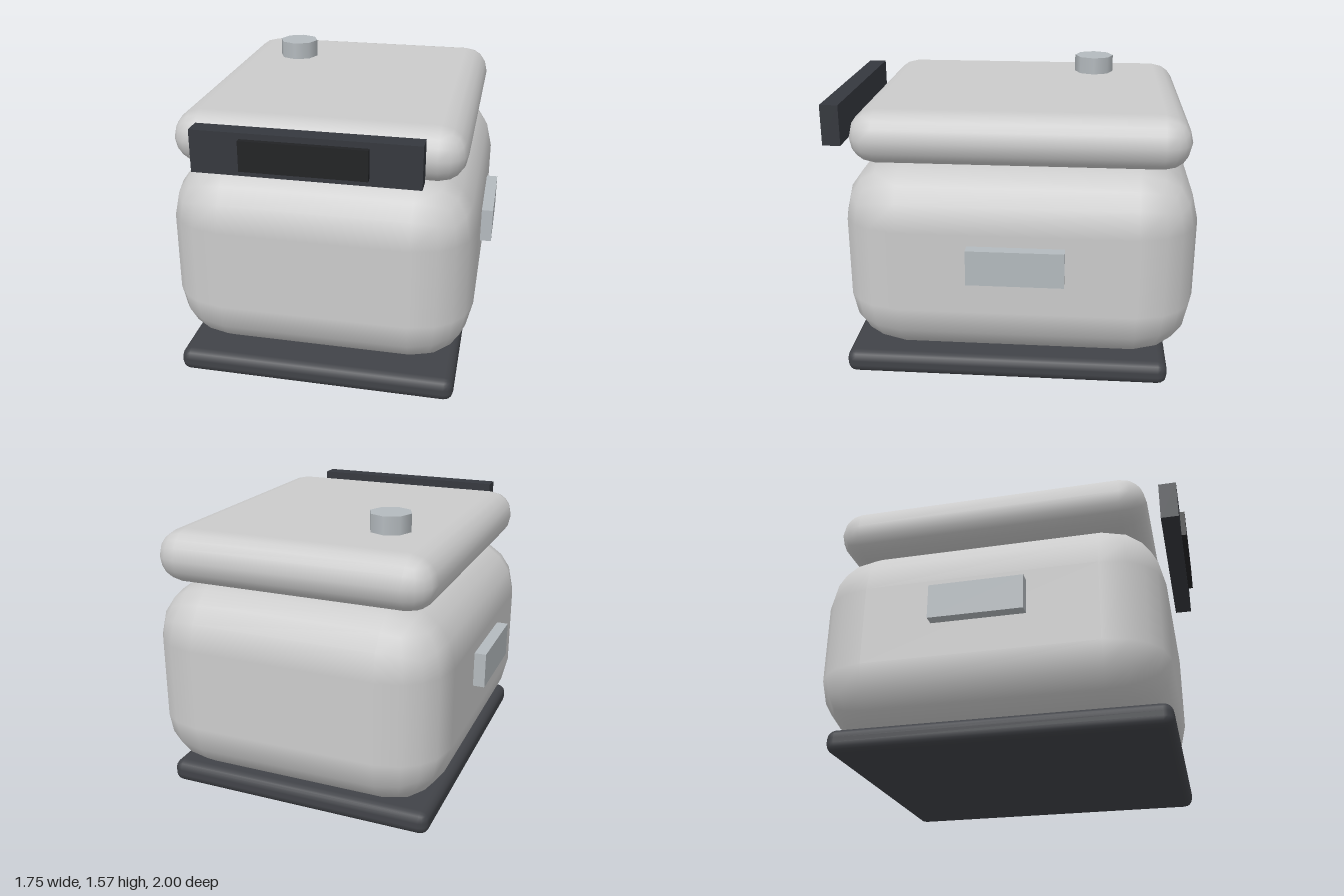
import * as THREE from 'three';

const SEG = 2; // segments per half of a rounded edge

const paint = (color) => new THREE.MeshStandardMaterial({ color });
const shell = paint(0xcccccc);
const steel = paint(0xb4babe);
const dark = paint(0x35383e);
const rubber = paint(0x414348);
const glass = paint(0x222325);

// Mesh filling the box between two corners; radius > 0 rounds every edge
function block(name, material, min, max, radius = 0) {
  const size = max.map((v, i) => v - min[i]);
  let geometry;
  if (radius > 0) {
    const n = SEG * 2 + 1;
    geometry = new THREE.BoxGeometry(1, 1, 1, n, n, n);
    const pos = geometry.attributes.position;
    const normal = geometry.attributes.normal;
    const dir = new THREE.Vector3();
    for (let i = 0; i < pos.count; i++) {
      const p = [pos.getX(i), pos.getY(i), pos.getZ(i)];
      // the middle grid cell becomes the flat face, the others the rounding
      const t = p.map((v) => Math.sign(v) * (Math.abs(v) * n - 0.5) / SEG);
      dir.fromArray(t).normalize();
      const d = dir.toArray();
      const q = p.map((v, k) => Math.sign(v) * (size[k] / 2 - radius) + d[k] * radius);
      pos.setXYZ(i, ...q);
      normal.setXYZ(i, ...d);
    }
  } else {
    geometry = new THREE.BoxGeometry(...size);
  }
  const mesh = new THREE.Mesh(geometry, material);
  mesh.name = name;
  mesh.position.set(...max.map((v, i) => (v + min[i]) / 2));
  return mesh;
}

export function createModel() {
  const group = new THREE.Group();
  group.name = 'cooker';

  // base plate, body and lid
  group.add(block('base', rubber, [-0.75, 0, -0.873], [0.75, 0.125, 0.875], 0.05));
  group.add(block('body', shell, [-0.813, 0.125, -1], [0.813, 1.19, 0.875], 0.315));
  group.add(block('lid', shell, [-0.75, 1.19, -0.935], [0.75, 1.47, 0.81], 0.14));

  // control panel with its display
  group.add(block('controlPanel', dark, [-0.562, 1.252, 0.875], [0.562, 1.47, 0.972]));
  group.add(block('display', glass, [-0.313, 1.285, 0.96], [0.313, 1.44, 1]));

  // side handles
  group.add(block('leftHandle', steel, [0.75, 0.627, -0.313], [0.875, 0.815, 0.188]));
  group.add(block('rightHandle', steel, [-0.875, 0.627, -0.313], [-0.75, 0.815, 0.188]));

  // steam valve on the lid
  const valve = new THREE.Mesh(new THREE.CylinderGeometry(0.112, 0.112, 0.125, 8), steel);
  valve.name = 'steamValve';
  valve.position.set(-0.377, 1.503, -0.438);
  group.add(valve);

  return group;
}
